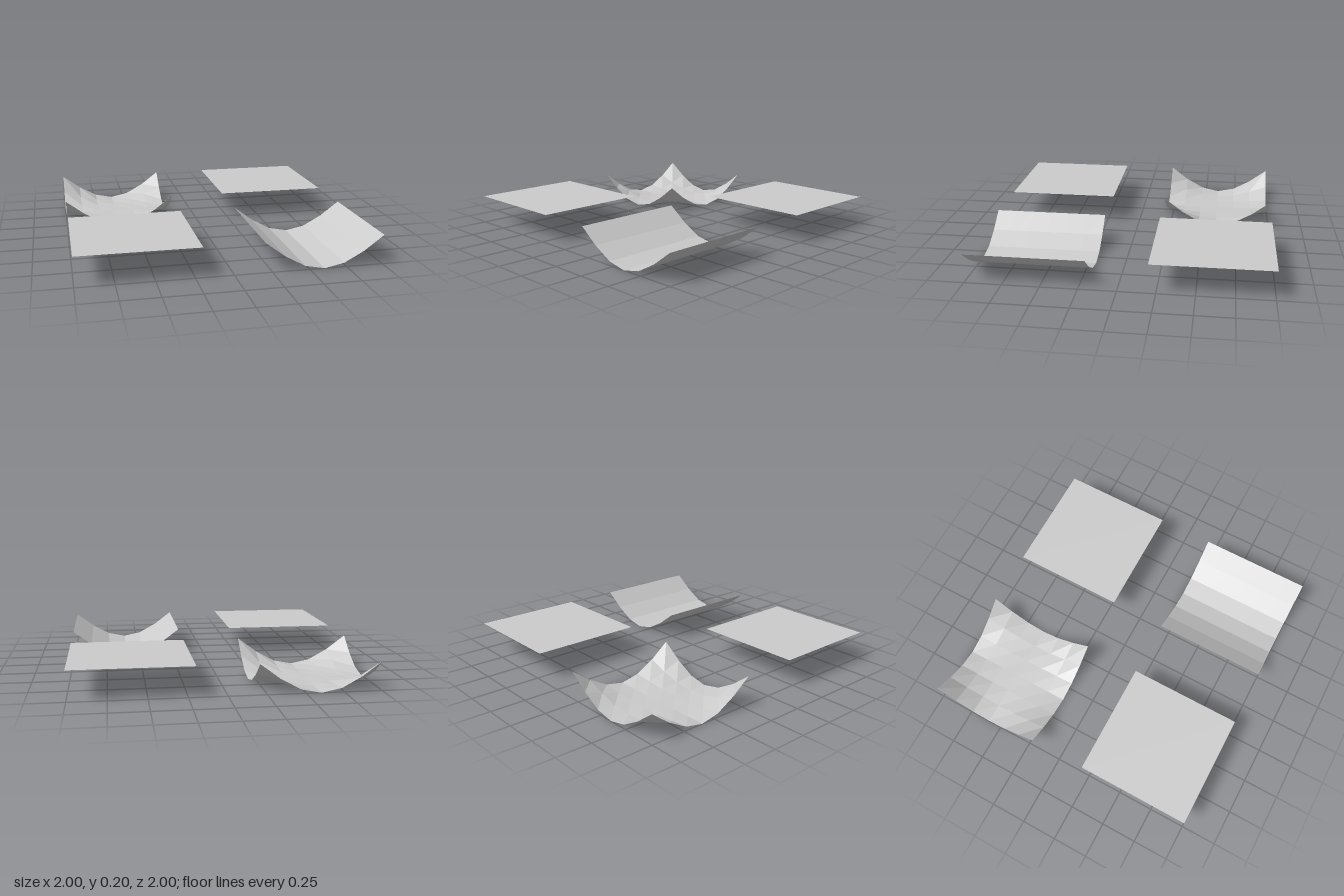
import * as THREE from 'three';

const SIZE = 0.8, RISE = 0.2, SEGMENTS = 6, OFFSET = 0.6;

// Rise of a trough: 0 along the middle, 1 at both edges (t from -1 to 1)
const trough = (t) => 1 - Math.cos((t * Math.PI) / 2);

export function createModel() {
  const group = new THREE.Group();
  const material = new THREE.MeshStandardMaterial({
    color: 0xcccccc, flatShading: true, side: THREE.DoubleSide,
  });

  // Thin square sheet whose height follows a rule of u (x) and v (z)
  function addSheet(name, x, z, segments, height) {
    const geometry = new THREE.PlaneGeometry(SIZE, SIZE, segments, segments);
    geometry.rotateX(-Math.PI / 2).rotateY(Math.PI / 2);
    const p = geometry.attributes.position;
    for (let i = 0; i < p.count; i++) {
      const u = p.getX(i) / (SIZE / 2), v = p.getZ(i) / (SIZE / 2);
      p.setY(i, RISE * height(u, v));
    }
    geometry.computeVertexNormals();
    const sheet = new THREE.Mesh(geometry, material);
    sheet.name = name;
    sheet.position.set(x, 0, z);
    group.add(sheet);
  }

  // Two flat sheets level with the raised corners
  addSheet('flatSheetRight', -OFFSET, OFFSET, 1, () => 1);
  addSheet('flatSheetLeft', OFFSET, -OFFSET, 1, () => 1);
  // Sheet bent in one direction
  addSheet('troughSheet', OFFSET, OFFSET, SEGMENTS, (u) => trough(u));
  // Sheet with four corners drawn up
  addSheet('raisedCornerSheet', -OFFSET, -OFFSET, SEGMENTS, (u, v) => trough(u) * trough(v));

  return group;
}
